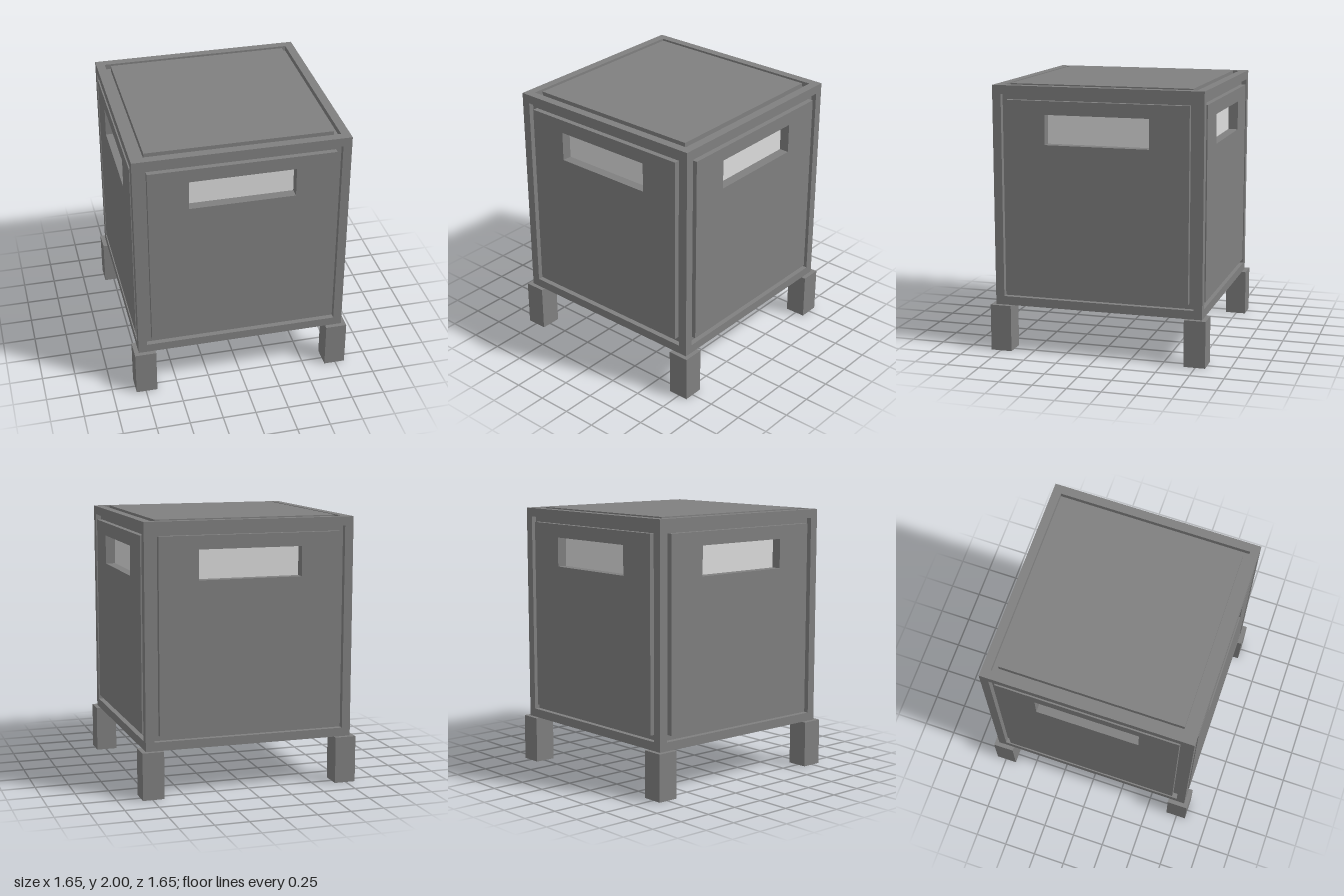
import * as THREE from 'three';

const HALF = 0.79, BAR = 0.065, BOTTOM = 0.35, TOP = 1.995;
const DEPTH = 0.04; // groove depth
const INNER = HALF - BAR;

// Upright sheet in the XY plane with a window opening, thickness along +z
function sheetWithWindow(halfWidth, y0, y1, thickness) {
  const rect = (path, w, a, b) => {
    path.moveTo(-w, a);
    path.lineTo(w, a);
    path.lineTo(w, b);
    path.lineTo(-w, b);
    path.closePath();
    return path;
  };
  const shape = rect(new THREE.Shape(), halfWidth, y0, y1);
  shape.holes.push(rect(new THREE.Path(), 0.39, 1.57, 1.79));
  return new THREE.ExtrudeGeometry(shape, { depth: thickness, bevelEnabled: false });
}

export function createModel() {
  const model = new THREE.Group();
  model.name = 'lanternBox';
  const grey = new THREE.MeshStandardMaterial({ color: 0x808080 });
  grey.name = 'grey';
  const pale = new THREE.MeshStandardMaterial({ color: 0xdddddd });
  pale.name = 'pale window';

  const add = (parent, name, geometry, material, x = 0, y = 0, z = 0) => {
    const mesh = new THREE.Mesh(geometry, material);
    mesh.name = name;
    mesh.position.set(x, y, z);
    parent.add(mesh);
    return mesh;
  };
  const box = (w, h, d) => new THREE.BoxGeometry(w, h, d);

  // Solid core, closed floor and raised lid
  const coreHalf = HALF - 2 * DEPTH;
  const coreTop = TOP - DEPTH;
  add(model, 'core', box(coreHalf * 2, coreTop - 0.36, coreHalf * 2), grey, 0, (coreTop + 0.36) / 2, 0);
  add(model, 'floor', box(INNER * 2, DEPTH, INNER * 2), grey, 0, BOTTOM + DEPTH / 2, 0);
  add(model, 'lid', box(1.37, 2 - coreTop, 1.37), grey, 0, (2 + coreTop) / 2, 0);

  // Four identical sides: rails, groove backing, panel and recessed window
  const backing = sheetWithWindow(HALF - DEPTH, BOTTOM + 0.03, coreTop, DEPTH);
  const panel = sheetWithWindow(0.685, 0.455, 1.89, DEPTH);
  const rail = box(INNER * 2, BAR, BAR);
  for (let i = 0; i < 4; i++) {
    const side = new THREE.Group();
    side.name = 'side' + (i + 1);
    side.rotation.y = i * Math.PI / 2;
    add(side, 'grooveBacking', backing, grey, 0, 0, coreHalf);
    add(side, 'panel', panel, grey, 0, 0, HALF - DEPTH);
    add(side, 'window', box(0.78, 0.22, 0.006), pale, 0, 1.68, coreHalf + 0.003);
    for (const y of [BOTTOM + BAR / 2, TOP - BAR / 2]) {
      add(side, 'rail', rail, grey, 0, y, HALF - BAR / 2);
    }
    model.add(side);
  }

  // Corner posts and feet
  const post = box(BAR, TOP - BOTTOM, BAR);
  const foot = box(0.16, BOTTOM, 0.16);
  for (const sx of [-1, 1]) {
    for (const sz of [-1, 1]) {
      const p = HALF - BAR / 2;
      add(model, 'cornerPost', post, grey, sx * p, (TOP + BOTTOM) / 2, sz * p);
      add(model, 'foot', foot, grey, sx * 0.743, BOTTOM / 2, sz * 0.743);
    }
  }
  return model;
}
